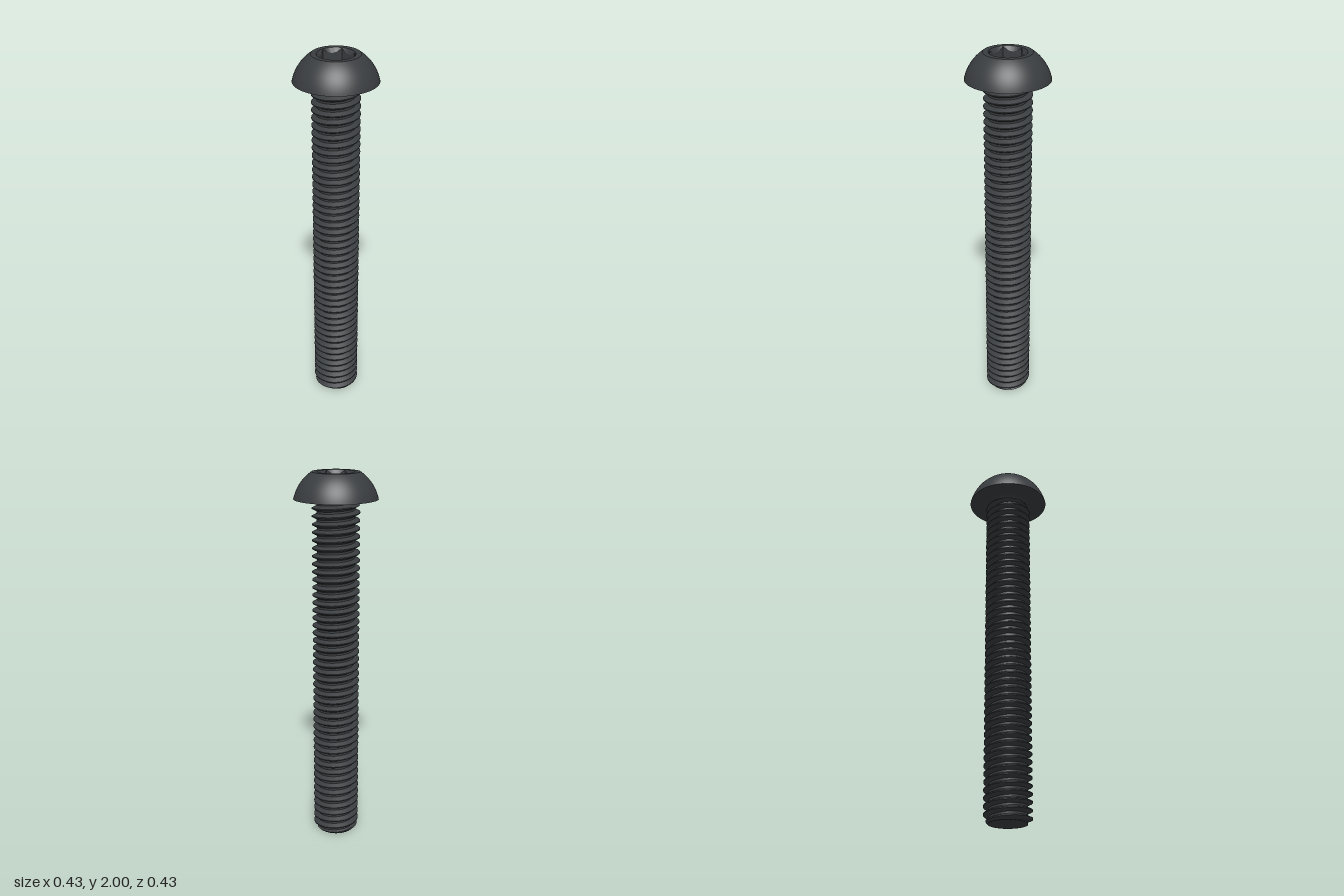
import * as THREE from 'three';
import { toCreasedNormals } from 'three/addons/utils/BufferGeometryUtils.js';

const PITCH = 0.0414, ROOT = 0.0988, CREST = 0.1242;
const HEAD_Y = 1.8634, HEAD_R = 0.2174, RIM_R = 0.124;
const SOCKET_R = 0.0966, HEX_APOTHEM = 0.0828, FLOOR_Y = 1.914;
const THREAD_TOP = 1.848;

const material = new THREE.MeshStandardMaterial({ color: 0x3a3d40 });

// Skins a stack of closed loops; ring(row, angle) returns [radius, y].
function skin(rows, cols, ring) {
  const position = [], index = [];
  for (let j = 0; j < rows; j++) {
    for (let i = 0; i <= cols; i++) {
      const a = (i / cols) * Math.PI * 2;
      const [r, y] = ring(j, a);
      position.push(r * Math.sin(a), y, r * Math.cos(a));
      if (j < rows - 1 && i < cols) {
        const p = j * (cols + 1) + i, q = p + cols + 1;
        index.push(p, p + 1, q, p + 1, q + 1, q);
      }
    }
  }
  const geometry = new THREE.BufferGeometry();
  geometry.setAttribute('position', new THREE.Float32BufferAttribute(position, 3));
  geometry.setIndex(index);
  return geometry;
}

function part(name, geometry) {
  const mesh = new THREE.Mesh(toCreasedNormals(geometry, 0.45), material);
  mesh.name = name;
  return mesh;
}

// Radius of the right-hand thread, tapered off at both ends.
function threadRadius(y, angle) {
  const t = y / PITCH - angle / (Math.PI * 2);
  const f = t - Math.floor(t);
  const rise = Math.min((f - 0.25) / 0.3125, (1 - f) / 0.3125);
  const r = ROOT + (CREST - ROOT) * THREE.MathUtils.clamp(rise, 0, 1);
  return Math.min(r, 0.101 + y, ROOT + (THREAD_TOP - y) * 1.7);
}

function threadGeometry() {
  const steps = [0, 0.25, 0.40625, 0.5625, 0.6875, 0.84375];
  const turns = Math.ceil(THREAD_TOP / PITCH) + 2;
  return skin(turns * steps.length + 1, 48, (j, a) => {
    if (j === 0) return [0, 0]; // centre of the end face
    const k = j - 1;
    const turn = Math.floor(k / steps.length) - 1 + steps[k % steps.length];
    const y = THREE.MathUtils.clamp((turn + a / (Math.PI * 2)) * PITCH, 0, THREAD_TOP);
    return [threadRadius(y, a), y];
  });
}

// Concave flare joining the shank to the head.
function neckGeometry() {
  const points = [], size = 0.026;
  for (let i = 0; i <= 6; i++) {
    const a = (i / 6) * Math.PI / 2;
    points.push(new THREE.Vector2(
      ROOT + size * (1 - Math.cos(a)), HEAD_Y - size + size * Math.sin(a)));
  }
  points.unshift(new THREE.Vector2(ROOT, HEAD_Y - 0.04));
  return new THREE.LatheGeometry(points, 48);
}

// Domed head with a flat underside and a flat rim around the socket.
function headGeometry() {
  const points = [new THREE.Vector2(0.09, HEAD_Y)];
  const centreY = HEAD_Y - 0.0484;
  const start = Math.atan2(HEAD_Y - centreY, HEAD_R);
  const end = Math.atan2(2 - centreY, RIM_R);
  const radius = Math.hypot(HEAD_R, HEAD_Y - centreY);
  for (let i = 0; i <= 14; i++) {
    const a = start + (end - start) * (i / 14);
    points.push(new THREE.Vector2(radius * Math.cos(a), centreY + radius * Math.sin(a)));
  }
  points.push(new THREE.Vector2(SOCKET_R, 2));
  return new THREE.LatheGeometry(points, 72);
}

// Hexagonal recess with a conical countersink at its mouth.
function socketGeometry() {
  return skin(4, 72, (j, a) => {
    const side = Math.PI / 3;
    const hex = HEX_APOTHEM / Math.cos(a - Math.round(a / side) * side);
    if (j === 0) return [SOCKET_R, 2];
    if (j === 1) return [hex, 2 - (SOCKET_R - hex) * 1.7];
    return [j === 2 ? hex : 0, FLOOR_Y];
  });
}

export function createModel() {
  const bolt = new THREE.Group();
  bolt.name = 'bolt';
  bolt.add(
    part('threadedShank', threadGeometry()),
    part('neck', neckGeometry()),
    part('head', headGeometry()),
    part('hexSocket', socketGeometry()),
  );
  return bolt;
}
